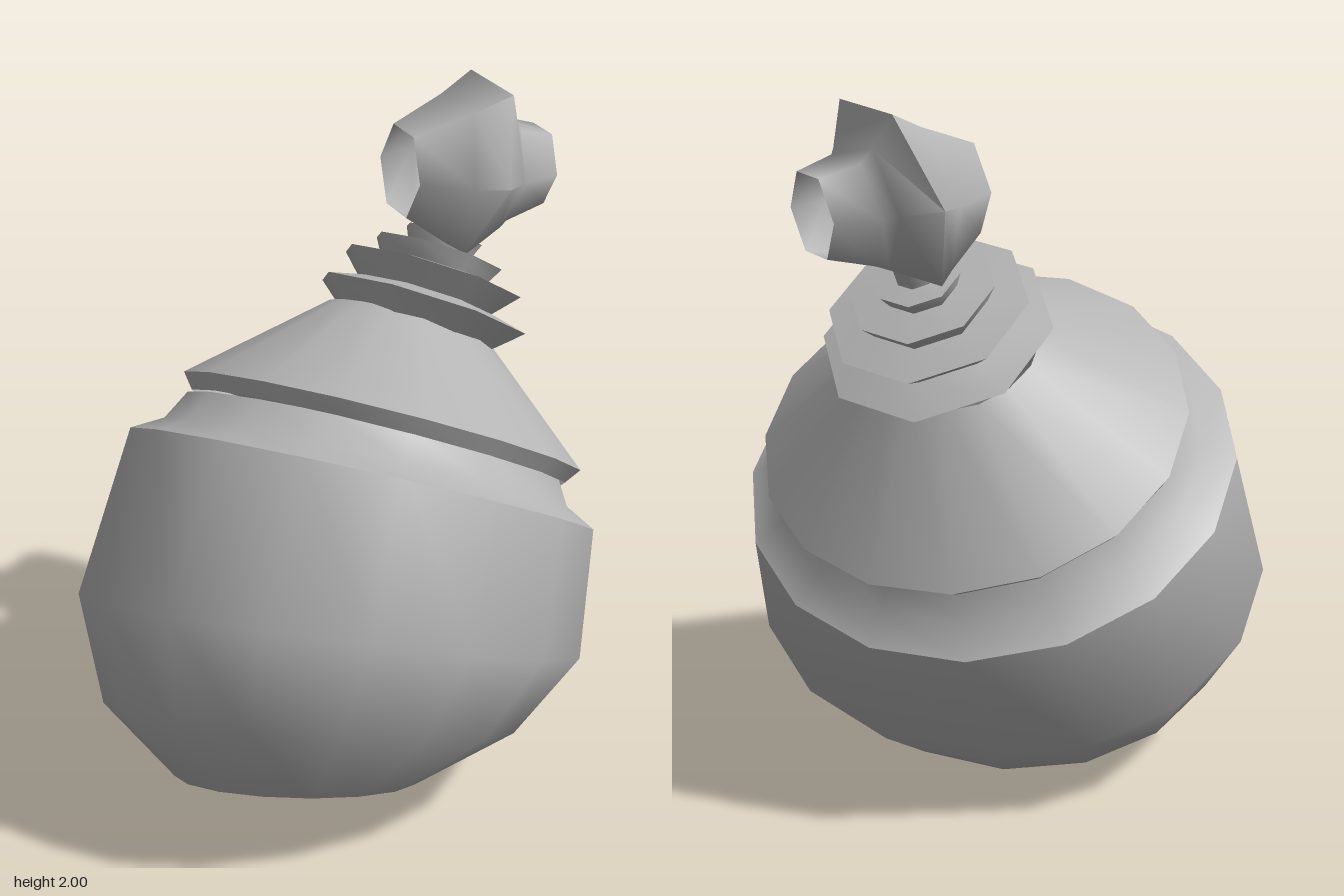
import * as THREE from 'three';
import { toCreasedNormals } from 'three/addons/utils/BufferGeometryUtils.js';

const grey = new THREE.MeshStandardMaterial({ color: 0xb4b4b4, side: THREE.DoubleSide });
grey.name = 'plain grey';

// Creased lathe from [radius, height] pairs, set on a leaning axis.
// skew tips each ring more the deeper it lies below the base point.
function leaningLathe(name, profile, { sides, phase, crease, at, axis, skew = 0 }) {
  const pts = profile.map(([r, h]) => new THREE.Vector2(r, h));
  const g = new THREE.LatheGeometry(pts, sides, phase);
  const p = g.attributes.position;
  for (let i = 0; i < p.count; i++) {
    const h = p.getY(i);
    p.setY(i, h - skew * Math.min(h, 0) * p.getX(i));
  }
  const mesh = new THREE.Mesh(toCreasedNormals(g, crease), grey);
  mesh.name = name;
  mesh.position.set(...at);
  mesh.quaternion.setFromUnitVectors(new THREE.Vector3(0, 1, 0), new THREE.Vector3(...axis).normalize());
  return mesh;
}

// Skin over six-sided rings: [top x, top y, bottom x, bottom y, half depth]
function hexSkin(rings, z) {
  const pos = [], idx = [], n = 6;
  for (const [tx, ty, bx, by, r] of rings) {
    for (let i = 0; i < n; i++) {
      const a = (i / n) * Math.PI * 2;
      const s = Math.sin(a) / Math.sin(Math.PI / 3);
      pos.push((tx + bx) / 2 + s * (tx - bx) / 2, (ty + by) / 2 + s * (ty - by) / 2, z + r * Math.cos(a));
    }
  }
  for (let k = 0; k < rings.length - 1; k++) {
    for (let i = 0; i < n; i++) {
      const a = k * n + i, b = k * n + (i + 1) % n;
      idx.push(a, a + n, b, b, a + n, b + n);
    }
  }
  const g = new THREE.BufferGeometry();
  g.setAttribute('position', new THREE.Float32BufferAttribute(pos, 3));
  g.setIndex(idx);
  return toCreasedNormals(g, 1.5);
}

export function createModel() {
  const model = new THREE.Group();
  model.name = 'ornament';

  // Round bowl with a sloped rim and a groove
  model.add(leaningLathe('bowl', [
    [0, -0.94], [0.35, -0.89], [0.6, -0.7], [0.74, -0.43], [0.7, 0],
    [0.61, 0.05], [0.56, 0.14],
  ], { sides: 16, phase: 0.1, crease: 0.8, at: [0.1, 0.9, -0.085], axis: [0.38, 0.86, -0.34], skew: 0.24 }));

  // Cone lid with a sharp lip overhanging the groove
  model.add(leaningLathe('lid', [
    [0.57, 0.13], [0.605, 0.175], [0.24, 0.49],
  ], { sides: 16, phase: 0.1, crease: 0.62, at: [0.113, 0.9, -0.075], axis: [0.405, 0.853, -0.33] }));

  // Stacked thin flared collars on the neck
  model.add(leaningLathe('collars', [
    [0.24, -0.07], [0.325, 0], [0.21, 0.03], [0.28, 0.1], [0.17, 0.115],
    [0.2, 0.165], [0.1, 0.175], [0.12, 0.22], [0.06, 0.225], [0.06, 0.28],
  ], { sides: 8, phase: 0, crease: 0.9, at: [0.353, 1.36, -0.225], axis: [0.45, 0.85, -0.305] }));

  // Hollow hexagonal bead lying across the top
  const bead = new THREE.Mesh(hexSkin([
    [0.31, 1.89, 0.29, 1.65, 0.14],
    [0.48, 1.95, 0.4, 1.57, 0.215],
    [0.59, 2.0, 0.45, 1.54, 0.28],
    [0.625, 1.91, 0.58, 1.59, 0.195],
    [0.65, 1.87, 0.61, 1.6, 0.155],
    [0.76, 1.84, 0.74, 1.63, 0.12],
  ], -0.28), grey);
  bead.name = 'topBead';
  model.add(bead);

  return model;
}
